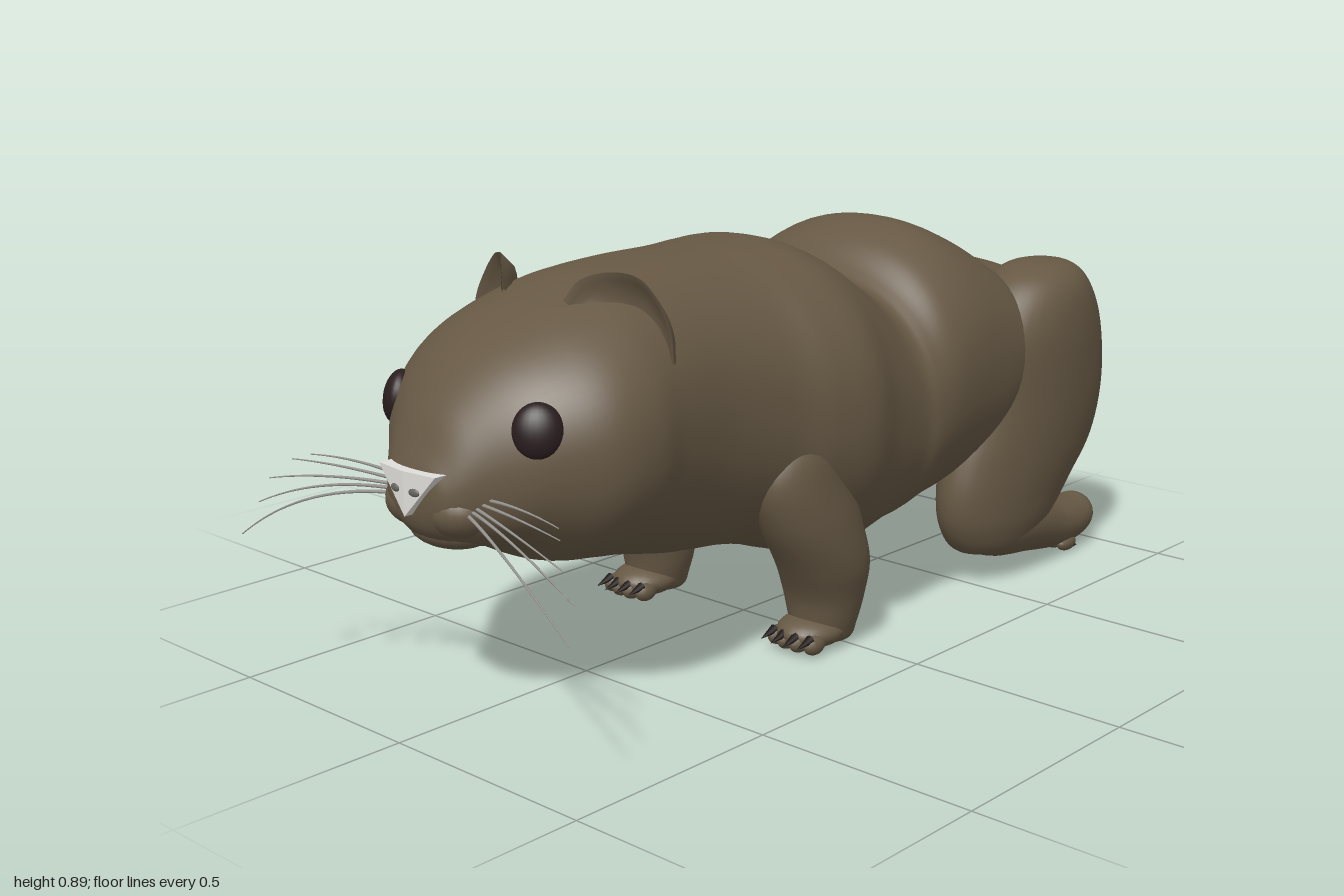
import * as THREE from 'three';

const mat = (name, color, side = THREE.FrontSide) => {
  const m = new THREE.MeshStandardMaterial({ color, side });
  m.name = name;
  return m;
};

// Smooth loft through elliptical rings. Row: [s, u, v, ru, rv].
// axis 'z': s=z, u=x, v=y.  axis 'y': s=y, u=x, v=z.
function loft(rows, axis, power = 1, seg = 40, steps = 6) {
  const rings = [];
  const n = rows.length;
  for (let i = 0; i < n - 1; i++) {
    const p = [rows[Math.max(i - 1, 0)], rows[i], rows[i + 1], rows[Math.min(i + 2, n - 1)]];
    for (let k = 0; k < steps + (i === n - 2 ? 1 : 0); k++) {
      const t = k / steps;
      rings.push(rows[0].map((_, c) => {
        const [a, b, d, e] = p.map((r) => r[c]);
        return 0.5 * (2 * b + (d - a) * t + (2 * a - 5 * b + 4 * d - e) * t * t + (3 * b - a - 3 * d + e) * t * t * t);
      }));
    }
  }
  const pos = [], idx = [];
  const soft = (w) => Math.sign(w) * Math.abs(w) ** power;
  for (const [s, u, v, ru, rv] of rings) {
    for (let j = 0; j < seg; j++) {
      const a = (j / seg) * Math.PI * 2;
      const x = u + Math.max(ru, 0.0005) * soft(Math.cos(a));
      const w = v + Math.max(rv, 0.0005) * soft(Math.sin(a));
      pos.push(...(axis === 'z' ? [x, w, s] : [x, s, w]));
    }
  }
  const flip = (axis === 'y') !== (rows[n - 1][0] < rows[0][0]);
  for (let i = 0; i < rings.length - 1; i++) {
    for (let j = 0; j < seg; j++) {
      const a = i * seg + j, b = i * seg + ((j + 1) % seg), c = a + seg, d = b + seg;
      idx.push(...(flip ? [a, c, b, b, c, d] : [a, b, c, b, d, c]));
    }
  }
  return indexed(pos, idx);
}

function indexed(pos, idx) {
  const g = new THREE.BufferGeometry();
  g.setAttribute('position', new THREE.Float32BufferAttribute(pos, 3));
  g.setIndex(idx);
  g.computeVertexNormals();
  return g;
}

// Cupped ear flap: a fan of strips from the rim to the root, with front and back skins
function earGeometry(s) {
  const rim = new THREE.CatmullRomCurve3([
    [0.09, 0.835, 0.625], [0.115, 0.875, 0.603], [0.16, 0.89, 0.565], [0.21, 0.88, 0.538],
    [0.255, 0.835, 0.528], [0.285, 0.78, 0.527], [0.293, 0.72, 0.527],
  ].map(([x, y, z]) => new THREE.Vector3(s * x, y, z))).getPoints(30);
  const K = 8, pos = [], idx = [];
  for (const back of [0, 1]) {
    for (const p of rim) {
      for (let k = 0; k < K; k++) {
        const f = k / (K - 1);
        const z = p.z - 0.022 * Math.sin(f * Math.PI) - back * (0.004 + 0.018 * Math.min(1, k / 2));
        pos.push(p.x + (s * 0.16 - p.x) * f * 0.8, p.y + (0.74 - p.y) * f * 0.8, z);
      }
    }
  }
  const half = rim.length * K;
  const quad = (a, b, c, d) => idx.push(...(s > 0 ? [a, b, c, b, d, c] : [a, c, b, b, c, d]));
  for (let i = 0; i < rim.length - 1; i++) {
    const r = i * K;
    for (let k = 0; k < K - 1; k++) {
      const a = r + k;
      quad(a, a + 1, a + K, a + K + 1);
      quad(a + half, a + K + half, a + 1 + half, a + K + 1 + half);
    }
    quad(r, r + K, r + half, r + K + half);
  }
  return indexed(pos, idx);
}

// Thin hair that tapers toward its tip
function hairGeometry(path) {
  const tube = new THREE.TubeGeometry(path, 16, 0.004, 5);
  const p = tube.attributes.position, v = new THREE.Vector3();
  for (let i = 0; i < p.count; i++) {
    const t = Math.floor(i / 6) / 16;
    v.fromBufferAttribute(p, i).lerp(path.getPointAt(t), t * 0.7);
    p.setXYZ(i, v.x, v.y, v.z);
  }
  return tube;
}

export function createModel() {
  const fur = mat('brown fur', 0x665844, THREE.DoubleSide);
  const eyeMat = mat('dark eye', 0x2a1d1e);
  const clawMat = mat('black claw', 0x1b1614);
  const noseMat = mat('pale nose', 0xdfded9);
  const nostrilMat = mat('grey nostril', 0x66655f);
  const whiskerMat = mat('grey whisker', 0x999792);
  const model = new THREE.Group();
  model.name = 'animal';

  const add = (name, geo, m) => {
    const mesh = new THREE.Mesh(geo, m);
    mesh.name = name;
    model.add(mesh);
    return mesh;
  };
  const ball = (name, m, p, r, seg = 24) => {
    const mesh = add(name, new THREE.SphereGeometry(1, seg, Math.round(seg * 0.7)), m);
    mesh.position.set(...p);
    mesh.scale.set(...r);
    return mesh;
  };

  // Head and trunk: [z, top, bottom, half width]
  const trunk = [
    [-0.895, 0.65, 0.63, 0], [-0.882, 0.69, 0.575, 0.16], [-0.83, 0.722, 0.545, 0.245], [-0.75, 0.745, 0.48, 0.31],
    [-0.65, 0.77, 0.36, 0.352], [-0.55, 0.835, 0.25, 0.368], [-0.43, 0.875, 0.205, 0.374], [-0.32, 0.845, 0.19, 0.378],
    [-0.25, 0.79, 0.175, 0.372], [-0.2, 0.78, 0.165, 0.362], [-0.1, 0.845, 0.14, 0.37], [0, 0.88, 0.165, 0.388],
    [0.1, 0.882, 0.2, 0.365], [0.2, 0.88, 0.222, 0.325], [0.35, 0.88, 0.24, 0.305], [0.5, 0.868, 0.275, 0.315],
    [0.6, 0.84, 0.295, 0.332], [0.7, 0.8, 0.315, 0.315], [0.8, 0.74, 0.365, 0.24], [0.88, 0.658, 0.38, 0.147],
    [0.922, 0.58, 0.41, 0.1], [0.94, 0.54, 0.445, 0.065], [0.946, 0.505, 0.495, 0],
  ].map(([z, t, b, w]) => [z, 0, (t + b) / 2, w, (t - b) / 2]);
  add('body', loft(trunk, 'z', 0.92, 64), fur);
  ball('tail', fur, [0, 0.655, -0.885], [0.042, 0.05, 0.063]);
  ball('chin', fur, [0, 0.41, 0.847], [0.1, 0.04, 0.072]);

  for (const s of [1, -1]) {
    // Front leg, sunk into the shoulder, and paw
    add('frontLeg', loft([
      [0.6, s * 0.26, 0.06, 0, 0], [0.56, s * 0.26, 0.07, 0.06, 0.06], [0.48, s * 0.257, 0.1, 0.085, 0.12],
      [0.4, s * 0.262, 0.115, 0.09, 0.135], [0.3, s * 0.27, 0.085, 0.094, 0.13], [0.2, s * 0.267, 0.04, 0.098, 0.112],
      [0.12, s * 0.256, 0.02, 0.09, 0.09], [0.05, s * 0.255, 0.02, 0.073, 0.075],
      [0.015, s * 0.255, 0.015, 0.055, 0.055], [0.005, s * 0.255, 0.015, 0, 0],
    ], 'y'), fur);
    ball('frontPaw', fur, [s * 0.255, 0.042, 0.06], [0.073, 0.038, 0.085]);
    for (let i = 0; i < 4; i++) {
      const x = s * (0.205 + i * 0.034), z = 0.125 - Math.abs(i - 1.5) * 0.008;
      ball('frontToe', fur, [x, 0.03, z], [0.019, 0.022, 0.03], 14);
      const claw = add('frontClaw', new THREE.ConeGeometry(0.011, 0.048, 8), clawMat);
      claw.position.set(x, 0.04, z + 0.036);
      claw.rotation.x = 1.8;
    }

    // Hind leg with the long foot reaching back
    add('hindLeg', loft([
      [0.76, s * 0.262, -0.77, 0, 0], [0.745, s * 0.262, -0.77, 0.07, 0.09], [0.7, s * 0.268, -0.755, 0.112, 0.155],
      [0.6, s * 0.272, -0.74, 0.128, 0.225], [0.45, s * 0.27, -0.735, 0.131, 0.256], [0.32, s * 0.268, -0.7, 0.125, 0.265],
      [0.22, s * 0.267, -0.65, 0.113, 0.232], [0.14, s * 0.266, -0.62, 0.1, 0.185],
      [0.08, s * 0.265, -0.6, 0.07, 0.11], [0.065, s * 0.265, -0.6, 0, 0],
    ], 'y'), fur);
    add('hindFoot', loft([
      [-0.46, s * 0.265, 0.16, 0, 0], [-0.48, s * 0.265, 0.155, 0.05, 0.05], [-0.57, s * 0.265, 0.135, 0.09, 0.08],
      [-0.7, s * 0.268, 0.115, 0.09, 0.08], [-0.82, s * 0.268, 0.082, 0.078, 0.066], [-0.92, s * 0.268, 0.072, 0.068, 0.057],
      [-0.98, s * 0.268, 0.08, 0.05, 0.044], [-1, s * 0.268, 0.082, 0, 0],
    ], 'z'), fur);
    for (let i = 0; i < 4; i++) {
      const x = s * (0.222 + i * 0.032);
      ball('hindToe', fur, [x, 0.028, -0.86], [0.018, 0.02, 0.035], 14);
      const claw = add('hindClaw', new THREE.ConeGeometry(0.01, 0.034, 8), clawMat);
      claw.position.set(x, 0.014, -0.893);
      claw.rotation.x = -1.8;
    }

    add('ear', earGeometry(s), fur);

    // Eye, sunk into the face
    const eye = ball('eye', eyeMat, [s * 0.207, 0.628, 0.803], [0.05, 0.055, 0.03]);
    eye.rotation.set(-0.2, s * 0.75, 0, 'YXZ');

    // Muzzle, nose half and nostril
    ball('muzzle', fur, [s * 0.062, 0.462, 0.872], [0.07, 0.056, 0.068]);
    const wedge = new THREE.Shape([[0, 0.545], [s * 0.083, 0.545], [0, 0.455]].map(([x, y]) => new THREE.Vector2(x, y)));
    const nose = new THREE.ExtrudeGeometry(wedge, { depth: 0.04, bevelEnabled: false });
    const np = nose.attributes.position;
    for (let i = 0; i < np.count; i++) np.setZ(i, np.getZ(i) + 0.922 - Math.abs(np.getX(i)) * 0.12);
    nose.computeVertexNormals();
    add('nose', nose, noseMat);
    const nostril = ball('nostril', nostrilMat, [s * 0.028, 0.507, 0.959], [0.014, 0.008, 0.004], 14);
    nostril.rotation.y = s * 0.12;

    // Whiskers: tip x, y, z
    [[0.495, 0.322, 0.997], [0.475, 0.388, 0.965], [0.44, 0.445, 0.96], [0.4, 0.487, 0.93], [0.37, 0.497, 0.905]]
      .forEach(([x, y, z], i) => {
        const path = new THREE.QuadraticBezierCurve3(
          new THREE.Vector3(s * 0.11, 0.467 + i * 0.006, 0.9 - i * 0.008),
          new THREE.Vector3(s * (0.3 - i * 0.015), 0.465 + i * 0.012, z - 0.015),
          new THREE.Vector3(s * x, y, z));
        add('whisker', hairGeometry(path), whiskerMat);
      });
  }
  return model;
}
